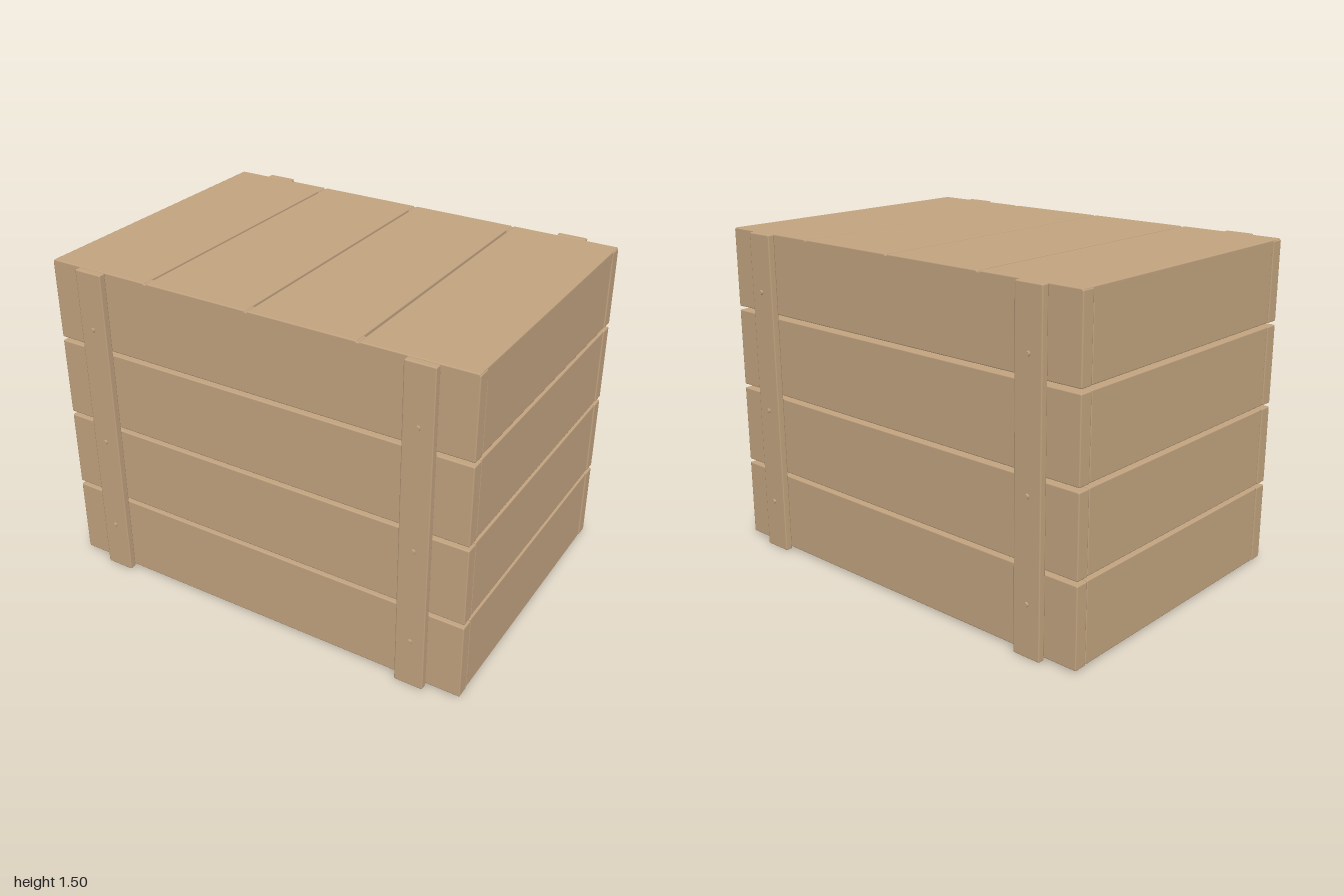
import * as THREE from 'three';
import { RoundedBoxGeometry } from 'three/addons/geometries/RoundedBoxGeometry.js';

const wood = new THREE.MeshStandardMaterial({ color: 0xc3a480 });
wood.name = 'wood';

function add(parent, name, geometry, x, y, z) {
  const mesh = new THREE.Mesh(geometry, wood);
  mesh.name = name;
  mesh.position.set(x, y, z);
  parent.add(mesh);
  return mesh;
}

// Board given by its size and centre, with slightly eased edges
function board(parent, name, w, h, d, x, y, z) {
  return add(parent, name, new RoundedBoxGeometry(w, h, d, 1, 0.006), x, y, z);
}

// Crate closed by boards at the top and open at the bottom
function makeCrate(name) {
  const crate = new THREE.Group();
  crate.name = name;

  // Four rows of wall boards
  for (let row = 0; row < 4; row++) {
    const y = 0.19 + row * 0.3765;
    for (const s of [-1, 1]) {
      board(crate, 'longWallBoard', 2, 0.36, 0.062, 0, y, s * 0.661);
      board(crate, 'endWallBoard', 0.06, 0.36, 1.254, s * 0.967, y, 0);
    }
  }

  // Closing boards
  for (let i = 0; i < 4; i++) {
    board(crate, 'lidBoard', 0.49, 0.06, 1.384, -0.7515 + i * 0.501, 1.474, 0);
  }

  // Battens with nails on the long walls
  for (const sx of [-1, 1]) {
    for (const sz of [-1, 1]) {
      board(crate, 'batten', 0.134, 1.502, 0.034, sx * 0.778, 0.752, sz * 0.709);
      for (const y of [0.235, 0.685, 1.24]) {
        const nail = add(crate, 'nail', new THREE.CylinderGeometry(0.011, 0.011, 0.02, 8), sx * 0.78, y, sz * 0.726);
        nail.rotation.x = Math.PI / 2;
      }
    }
  }
  return crate;
}

export function createModel() {
  const model = new THREE.Group();
  model.name = 'nestedCrates';
  model.add(makeCrate('outerCrate'));

  // Smaller crate inside, turned over so that its boards form a floor
  const inner = makeCrate('innerCrate');
  inner.scale.set(0.65, 0.66, 0.67);
  inner.rotation.x = Math.PI;
  inner.position.y = 1.504 * 0.66 + 0.001;
  model.add(inner);

  // Bulging cask that pokes through the inner walls
  const profile = [[0, 0.05], [0.44, 0.05], [0.5, 0.12], [0.55, 0.24], [0.57, 0.38],
    [0.55, 0.52], [0.5, 0.64], [0.44, 0.73], [0, 0.73]];
  add(model, 'cask', new THREE.LatheGeometry(profile.map(([r, y]) => new THREE.Vector2(r, y)), 32), 0, 0, 0);
  for (const [r, y] of [[0.495, 0.12], [0.545, 0.24]]) {
    const hoop = add(model, 'caskHoop', new THREE.TorusGeometry(r, 0.012, 6, 40), 0, y, 0);
    hoop.rotation.x = Math.PI / 2;
  }
  return model;
}
